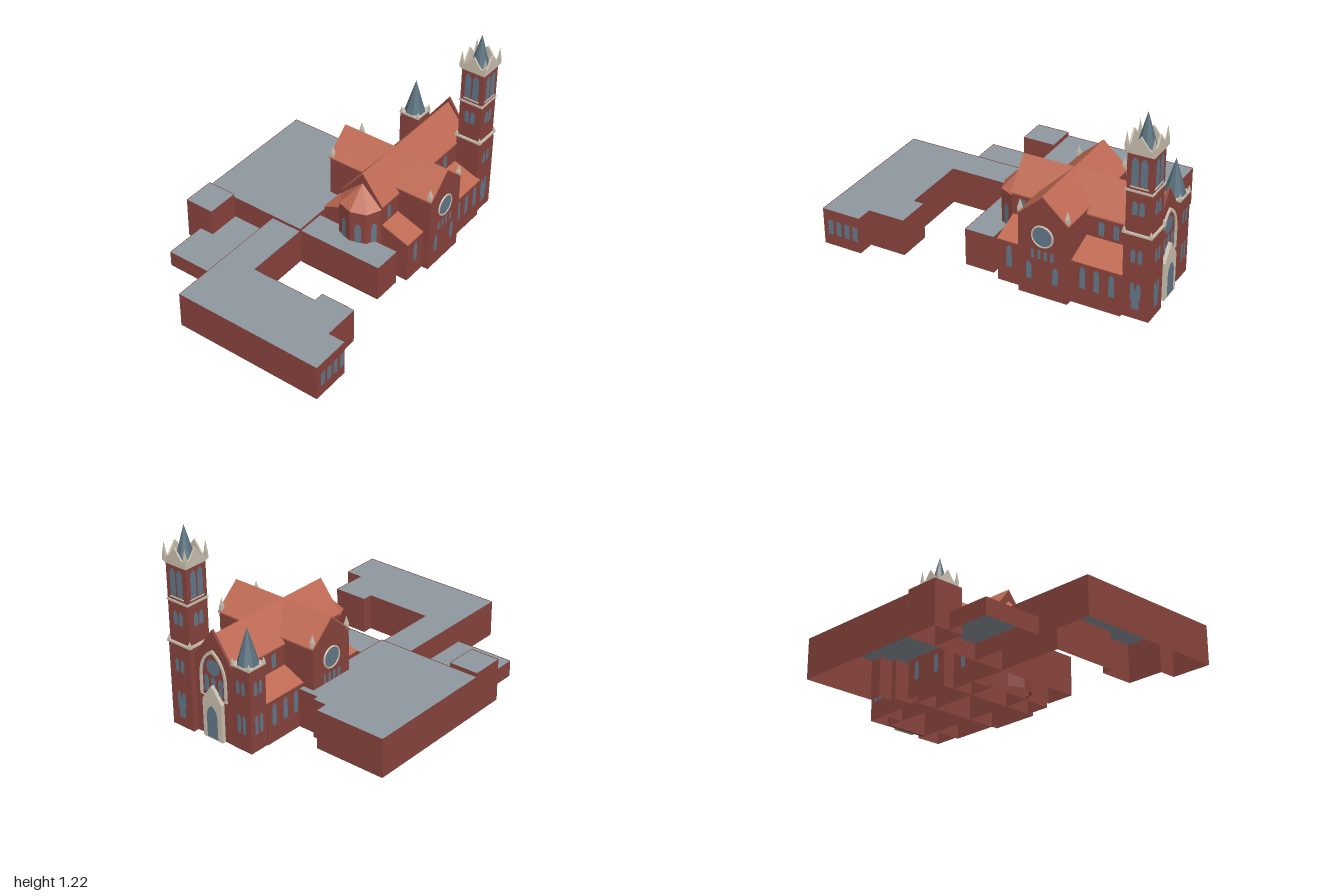
import * as THREE from 'three';

const mat = (name, color, side = THREE.FrontSide) =>
  Object.assign(new THREE.MeshStandardMaterial({ color, side, flatShading: true }), { name });
const D = THREE.DoubleSide;
const brick = mat('red brick', 0x8a443d, D), tile = mat('clay tile', 0xbf6a53, D);
const flat = mat('grey flat roof', 0x8f989f, D), glass = mat('blue glass', 0x64788a, D);
const stone = mat('pale stone', 0xcbc1b0, D), slate = mat('spire slate', 0x5c7380);

export function createModel() {
  const root = new THREE.Group();
  let parent = root;
  const section = (name) => {
    parent = new THREE.Group();
    parent.name = name;
    root.add(parent);
  };
  const put = (name, geo, m, x = 0, y = 0, z = 0, ry = 0) => {
    const mesh = new THREE.Mesh(geo, m);
    mesh.name = name;
    mesh.position.set(x, y, z);
    mesh.rotation.y = ry;
    parent.add(mesh);
    return mesh;
  };
  const box = (name, m, w, h, d, x, y, z) => put(name, new THREE.BoxGeometry(w, h, d), m, x, y, z);
  const poly = (pts) => new THREE.Shape(pts.map((p) => new THREE.Vector2(p[0], p[1])));
  const extrude = (shape, depth) => new THREE.ExtrudeGeometry(shape, { depth, bevelEnabled: false, curveSegments: 8 });
  const rect = (x0, x1, z0, z1) => [[x0, z0], [x0, z1], [x1, z1], [x1, z0]];

  // Upright walls along a closed plan outline, open above and below
  const walls = (name, plan, y1, y0 = 0) => {
    const v = [];
    plan.forEach(([ax, az], i) => {
      const [bx, bz] = plan[(i + 1) % plan.length];
      v.push(ax, y0, az, bx, y0, bz, bx, y1, bz, ax, y0, az, bx, y1, bz, ax, y1, az);
    });
    const g = new THREE.BufferGeometry();
    g.setAttribute('position', new THREE.Float32BufferAttribute(v, 3));
    g.computeVertexNormals();
    put(name, g, brick);
  };
  const deck = (name, plan, y, m = flat) => {
    const g = new THREE.ShapeGeometry(poly(plan.map(([x, z]) => [x, -z])));
    put(name, g.rotateX(-Math.PI / 2), m, 0, y, 0);
  };
  const block = (name, plan, h) => {
    walls(name + 'Walls', plan, h);
    deck(name + 'Roof', plan, h - 0.004);
  };

  // Pointed window outline standing on y = 0
  const lancet = (w, h, base = 0) => {
    const s = new THREE.Shape(), r = w / 2, k = h - w * 0.85;
    s.moveTo(-r, base).lineTo(r, base).lineTo(r, k);
    s.quadraticCurveTo(r * 0.9, h - w * 0.25, 0, h);
    s.quadraticCurveTo(-r * 0.9, h - w * 0.25, -r, k);
    return s;
  };
  const windowAt = (w, y0, y1, x, z, ry) =>
    put('window', new THREE.ShapeGeometry(lancet(w, y1 - y0), 6), glass,
      x + Math.sin(ry) * 0.003, y0, z + Math.cos(ry) * 0.003, ry);
  const windowPair = (w, y0, y1, gap, x, z, ry) => {
    for (const s of [-1, 1]) windowAt(w, y0, y1, x + s * gap * Math.cos(ry), z - s * gap * Math.sin(ry), ry);
  };
  const pinnacle = (x, y, z, h, w) => {
    box('pinnacleBase', stone, w, h * 0.4, w, x, y + h * 0.2, z);
    put('pinnacleTip', new THREE.ConeGeometry(w * 0.62, h * 0.6, 4), stone, x, y + h * 0.7, z, Math.PI / 4);
  };
  const corners = (cx, cz, rx, rz, fn) => {
    for (const sx of [-1, 1]) for (const sz of [-1, 1]) fn(cx + sx * rx, cz + sz * rz);
  };
  // Thin pitched roof running along z, or along x when turned
  const pitched = (name, half, eave, ridge, len, x, z, ry) => {
    const t = 0.008;
    const g = extrude(poly([[-half, eave], [0, ridge], [half, eave], [half, eave - t], [0, ridge - t], [-half, eave - t]]), len);
    put(name, g.translate(0, 0, -len / 2), tile, x, 0, z, ry);
  };
  const gable = (name, half, y0, y1, x, z, ry) =>
    put(name, new THREE.ShapeGeometry(poly([[-half, y0], [half, y0], [0, y1]])), brick, x, 0, z, ry);

  const E = Math.PI / 2, W = -E, N = Math.PI;
  const cx = 0.242;

  // Flat-roofed outbuildings
  section('outbuildings');
  block('mainHall', [[-0.72, -0.68], [-0.72, 0.165], [-0.035, 0.165], [-0.035, -0.57], [-0.17, -0.57],
    [-0.17, -0.605], [-0.26, -0.605], [-0.26, -0.68]], 0.245);
  block('cornerRoom', rect(-0.72, -0.53, 0.166, 0.375), 0.268);
  block('lowRoom', [[-0.528, 0.166], [-0.528, 0.376], [-0.62, 0.376], [-0.62, 0.65], [-0.24, 0.65], [-0.24, 0.166]], 0.102);
  block('frontWing', [[-0.237, 0.167], [-0.237, 0.998], [0.718, 0.998], [0.718, 0.75], [0.612, 0.75],
    [0.612, 0.52], [0.393, 0.52], [0.393, 0.585], [-0.035, 0.585], [-0.035, 0.167]], 0.232);
  block('linkWing', rect(-0.03, 0.52, -0.02, 0.164), 0.236);
  for (let i = 0; i < 4; i++) put('wingWindow', new THREE.PlaneGeometry(0.036, 0.095), glass, 0.721, 0.12, 0.78 + i * 0.056, E);

  // Nave with its pitched roof
  section('nave');
  walls('naveWalls', rect(0.105, 0.38, -0.945, -0.06), 0.468);
  gable('naveFrontGable', 0.137, 0.468, 0.64, cx, -0.06, 0);
  pitched('naveRoof', 0.143, 0.468, 0.648, 0.885, cx, -0.5, 0);

  // Aisles leaning on the nave
  section('aisles');
  for (const [inner, outer, ry] of [[0.105, -0.035, W], [0.38, 0.56, E]]) {
    walls('aisleWalls', rect(outer, inner, -0.83, -0.07), 0.265);
    const cheek = poly([[outer, 0.265], [inner, 0.265], [inner, 0.328]]);
    for (const z of [-0.83, -0.07]) put('aisleCheek', new THREE.ShapeGeometry(cheek), brick, 0, 0, z);
    const pane = poly([[outer, 0.267], [inner, 0.331], [inner, 0.324], [outer, 0.26]]);
    put('aisleRoof', extrude(pane, 0.764), tile, 0, 0, -0.832);
    for (const z of [-0.145, -0.6, -0.685, -0.775]) windowAt(0.034, 0.108, 0.247, outer, z, ry);
    for (const z of [-0.13, -0.62, -0.71]) windowPair(0.017, 0.35, 0.44, 0.009, inner, z, ry);
  }

  // Crossing arm with rose windows
  section('transept');
  walls('transeptWalls', rect(-0.108, 0.602, -0.53, -0.225), 0.507);
  pitched('transeptRoof', 0.159, 0.503, 0.647, 0.722, 0.247, -0.378, E);
  for (const [x, ry, s] of [[0.602, E, 1], [-0.108, W, -1]]) {
    gable('transeptGable', 0.152, 0.507, 0.64, x, -0.378, ry);
    put('roseGlass', new THREE.CircleGeometry(0.062, 28), glass, x + s * 0.004, 0.39, -0.376, ry);
    put('roseRing', new THREE.TorusGeometry(0.064, 0.006, 6, 28), stone, x + s * 0.002, 0.39, -0.376, ry);
    for (let i = 0; i < 4; i++) windowAt(0.02, 0.245, 0.306, x, -0.316 - i * 0.04, ry);
    for (const z of [-0.292, -0.456]) windowAt(0.034, 0.103, 0.217, x, z, ry);
    for (const z of [-0.232, -0.522]) pinnacle(x - s * 0.011, 0.507, z, 0.08, 0.022);
  }

  // Faceted apse with a half-pyramid roof
  section('apse');
  const plan = [[0.102, -0.06], [0.145, 0.03], [cx, 0.062], [0.339, 0.03], [0.378, -0.06]];
  walls('apseWalls', plan, 0.443);
  const rv = [];
  for (let i = 0; i < 4; i++) {
    const [ax, az] = plan[i], [bx, bz] = plan[i + 1];
    rv.push(ax, 0.443, az, bx, 0.443, bz, cx, 0.573, -0.06);
    windowAt(0.038, 0.18, 0.367, (ax + bx) / 2, (az + bz) / 2, Math.atan2(az - bz, bx - ax));
  }
  const apseRoof = new THREE.BufferGeometry();
  apseRoof.setAttribute('position', new THREE.Float32BufferAttribute(rv, 3));
  apseRoof.computeVertexNormals();
  put('apseRoof', apseRoof, tile);

  // Entrance front with great arch and porch
  section('facade');
  const fz = -0.952;
  put('facadeWall', extrude(poly([[-0.14, 0], [0.14, 0], [0.14, 0.48], [0, 0.677], [-0.14, 0.48]]), 0.016), brick, cx, 0, fz + 0.016, N);
  const arch = lancet(0.2, 0.3);
  arch.holes.push(lancet(0.168, 0.278, 0.001));
  put('greatArch', extrude(arch, 0.01), stone, cx, 0.255, fz, N);
  put('archGlass', new THREE.CircleGeometry(0.05, 20), glass, cx, 0.445, fz - 0.003, N);
  for (const dx of [-0.053, 0, 0.053]) windowAt(0.036, 0.28, 0.39, cx + dx, fz, N);
  put('porch', extrude(poly([[-0.072, 0], [0.072, 0], [0.072, 0.24], [0, 0.34], [-0.072, 0.24]]), 0.024), stone, cx, 0, fz, N);
  windowAt(0.08, 0.01, 0.215, cx, fz - 0.024, N);

  // Bell tower
  section('tower');
  const tx = 0.46, tz = -0.907;
  walls('towerBase', rect(tx - 0.08, tx + 0.08, tz - 0.082, tz + 0.08), 0.53);
  walls('towerShaft', rect(tx - 0.075, tx + 0.075, tz - 0.075, tz + 0.075), 1.005, 0.53);
  box('lowerCornice', stone, 0.176, 0.012, 0.176, tx, 0.53, tz);
  box('middleCornice', stone, 0.16, 0.013, 0.16, tx, 0.786, tz);
  corners(tx, tz, 0.078, 0.078, (x, z) => {
    pinnacle(x, 0.525, z, 0.045, 0.016);
    pinnacle(x, 1.015, z, 0.112, 0.018);
  });
  const crown = poly([[-0.079, 1.003], [0.079, 1.003], [0.079, 1.03], [0.045, 1.05], [0, 1.11], [-0.045, 1.05], [-0.079, 1.03]]);
  for (let i = 0; i < 4; i++) {
    const a = i * E, sx = Math.round(Math.sin(a)), sz = Math.round(Math.cos(a));
    const at = (d) => [tx + sx * d, tz + sz * d];
    const [x, z] = at(0.075);
    windowPair(0.042, 0.818, 0.985, 0.026, x, z, a);
    windowPair(0.032, 0.645, 0.73, 0.02, x, z, a);
    put('windowSill', new THREE.BoxGeometry(0.104, 0.007, 0.01), stone, x, 0.81, z, a);
    const [gx, gz] = at(0.069);
    put('crownGable', extrude(crown, 0.011), stone, gx, 0, gz, a);
    if (i === 1 || i === 2) {
      const [bx, bz] = at(i === 1 ? 0.08 : 0.082);
      windowPair(0.027, 0.355, 0.44, 0.02, bx, bz, a);
      windowPair(0.026, 0.125, 0.23, 0.018, bx, bz, a);
      windowAt(0.045, 0.062, 0.19, bx, bz, a);
    }
  }
  deck('crownFloor', rect(tx - 0.075, tx + 0.075, tz - 0.075, tz + 0.075), 1.02, stone);
  put('towerSpire', new THREE.ConeGeometry(0.056, 0.2, 8), slate, tx, 1.122, tz, Math.PI / 8);

  // Small stair turret
  section('turret');
  const ux = 0.036, uz = -0.892;
  walls('turretWalls', rect(-0.029, 0.101, -0.955, -0.829), 0.52);
  box('turretCornice', stone, 0.136, 0.012, 0.132, ux, 0.518, uz);
  corners(ux, uz, 0.06, 0.058, (x, z) => pinnacle(x, 0.515, z, 0.045, 0.015));
  put('turretSpire', new THREE.ConeGeometry(0.064, 0.218, 8), slate, ux, 0.633, uz, Math.PI / 8);
  for (const [x, z, a] of [[ux, -0.955, N], [-0.029, uz, W]]) {
    windowPair(0.025, 0.355, 0.44, 0.019, x, z, a);
    windowPair(0.025, 0.11, 0.23, 0.019, x, z, a);
  }
  return root;
}
